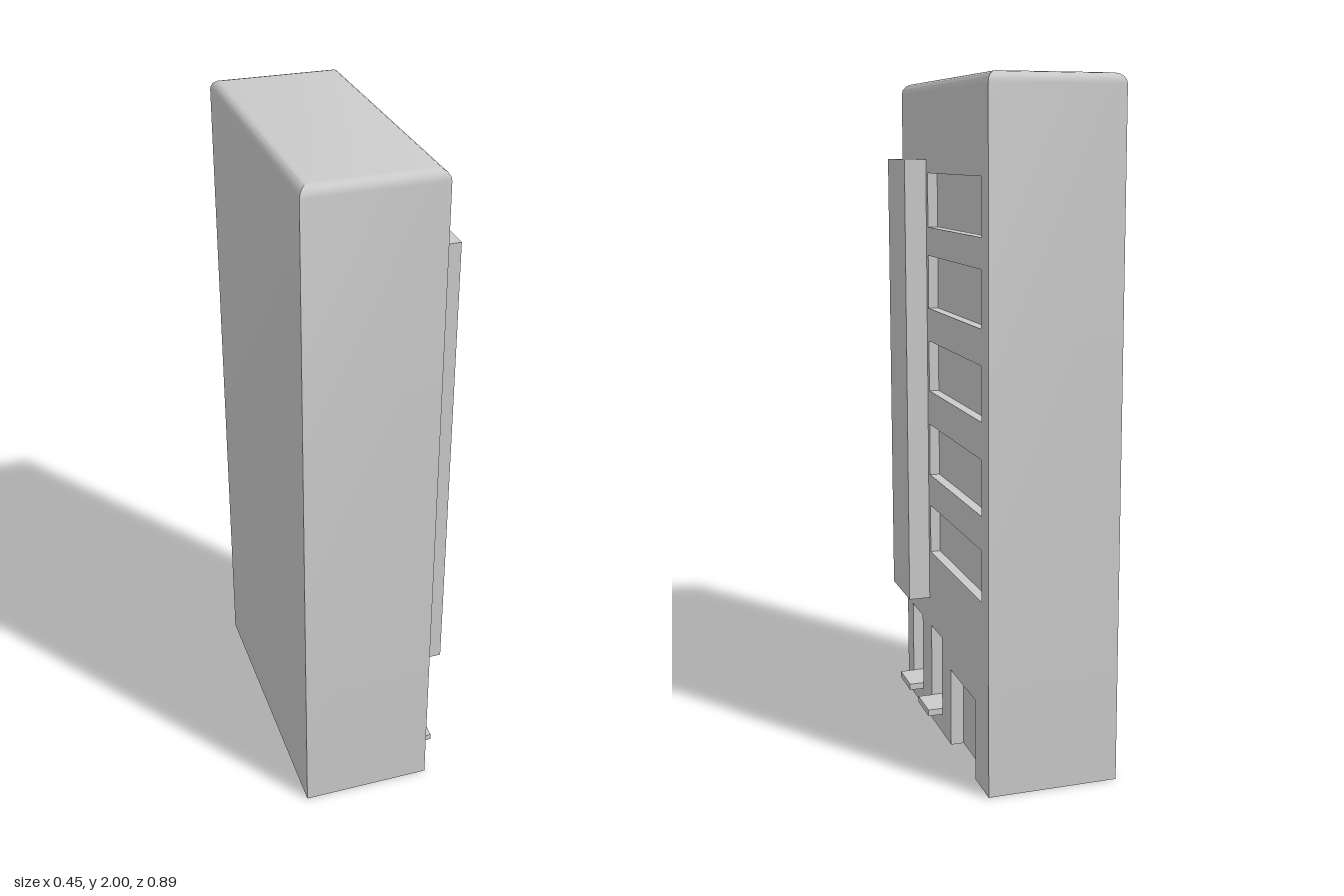
import * as THREE from 'three';
import { toCreasedNormals } from 'three/addons/utils/BufferGeometryUtils.js';

const X0 = -0.227, X1 = 0.161, Z = 0.443, H = 2, R = 0.03;

// Openings in the right-facing wall: [z min, z max, y min, y max, depth]
const windows = [[1.57, 1.73], [1.325, 1.485], [1.07, 1.225], [0.805, 0.965], [0.557, 0.707]]
  .map(([a, b]) => [-0.38, 0.148, a, b, 0.03]);
const niches = [[0.255, 0.375, 0.06, 0.313, 0.04], [0.03, 0.148, 0.06, 0.313, 0.04]];
const door = [-0.317, -0.067, 0, 0.243, 0.04];

export function createModel() {
  const model = new THREE.Group();
  const material = new THREE.MeshStandardMaterial({ color: 0xcccccc, side: THREE.DoubleSide });

  const add = (name, geometry, x = 0, y = 0, z = 0) => {
    const mesh = new THREE.Mesh(geometry, material);
    mesh.name = name;
    mesh.position.set(x, y, z);
    model.add(mesh);
    return mesh;
  };
  const box = (name, x0, x1, y0, y1, z0, z1) => add(name,
    new THREE.BoxGeometry(x1 - x0, y1 - y0, z1 - z0), (x0 + x1) / 2, (y0 + y1) / 2, (z0 + z1) / 2);

  // Hollow shell: rectangular rings, rounded in at the top
  const ring = (inset, y) => [
    [X1 - inset, y, Z - inset], [X1 - inset, y, -Z + inset],
    [X0 + inset, y, -Z + inset], [X0 + inset, y, Z - inset]];
  const rings = [ring(0, 0)];
  for (let i = 0; i <= 4; i++) {
    const a = (i / 4) * Math.PI / 2;
    rings.push(ring(R * (1 - Math.cos(a)), H - R + R * Math.sin(a)));
  }
  const points = [];
  const quad = (a, b, c, d) => points.push(...a, ...b, ...c, ...a, ...c, ...d);
  for (let i = 0; i < rings.length - 1; i++) {
    for (let k = 0; k < 4; k++) {
      if (i === 0 && k === 0) continue; // the wall with openings goes here
      const n = (k + 1) % 4;
      quad(rings[i][k], rings[i][n], rings[i + 1][n], rings[i + 1][k]);
    }
  }
  quad(...rings[rings.length - 1]);
  const shell = new THREE.BufferGeometry();
  shell.setAttribute('position', new THREE.Float32BufferAttribute(points, 3));
  add('shell', toCreasedNormals(shell, 0.6));

  // Wall with window and niche holes and a door notch (shape x is -z)
  const wall = new THREE.Shape([
    [-Z, 0], [-door[1], 0], [-door[1], door[3]], [-door[0], door[3]], [-door[0], 0],
    [Z, 0], [Z, H - R], [-Z, H - R]].map(([x, y]) => new THREE.Vector2(x, y)));
  for (const [z0, z1, y0, y1] of [...windows, ...niches]) {
    wall.holes.push(new THREE.Path([[-z1, y0], [-z1, y1], [-z0, y1], [-z0, y0]]
      .map(([x, y]) => new THREE.Vector2(x, y))));
  }
  add('openingWall', new THREE.ShapeGeometry(wall).rotateY(Math.PI / 2), X1);

  // Recesses: boxes without their outer face; the door also lacks a floor
  const recess = (name, [z0, z1, y0, y1, depth], hasFloor = true) => {
    const { geometry } = box(name, X1 - depth, X1, y0, y1, z0, z1);
    const index = Array.from(geometry.index.array);
    geometry.clearGroups();
    geometry.setIndex(index.filter((_, i) => i >= 6 && (hasFloor || i < 18 || i >= 24)));
  };
  windows.forEach((w, i) => recess(`windowRecess${i + 1}`, w));
  niches.forEach((n, i) => {
    recess(`nicheRecess${i + 1}`, n);
    box(`nicheSill${i + 1}`, X1 - n[4], 0.206, 0.06, 0.08, n[0], n[1]);
  });
  recess('doorRecess', door, false);

  // Underside, left open in line with the door
  for (const [name, z0, z1] of [['frontUnderside', door[1], Z], ['backUnderside', -Z, door[0]]]) {
    add(name, new THREE.PlaneGeometry(X1 - X0, z1 - z0).rotateX(Math.PI / 2),
      (X0 + X1) / 2, 0, (z0 + z1) / 2);
  }

  // Tall raised panel beside the windows
  box('tallPanel', X1 - 0.01, 0.227, 0.4, 1.77, 0.166, 0.369);

  return model;
}
